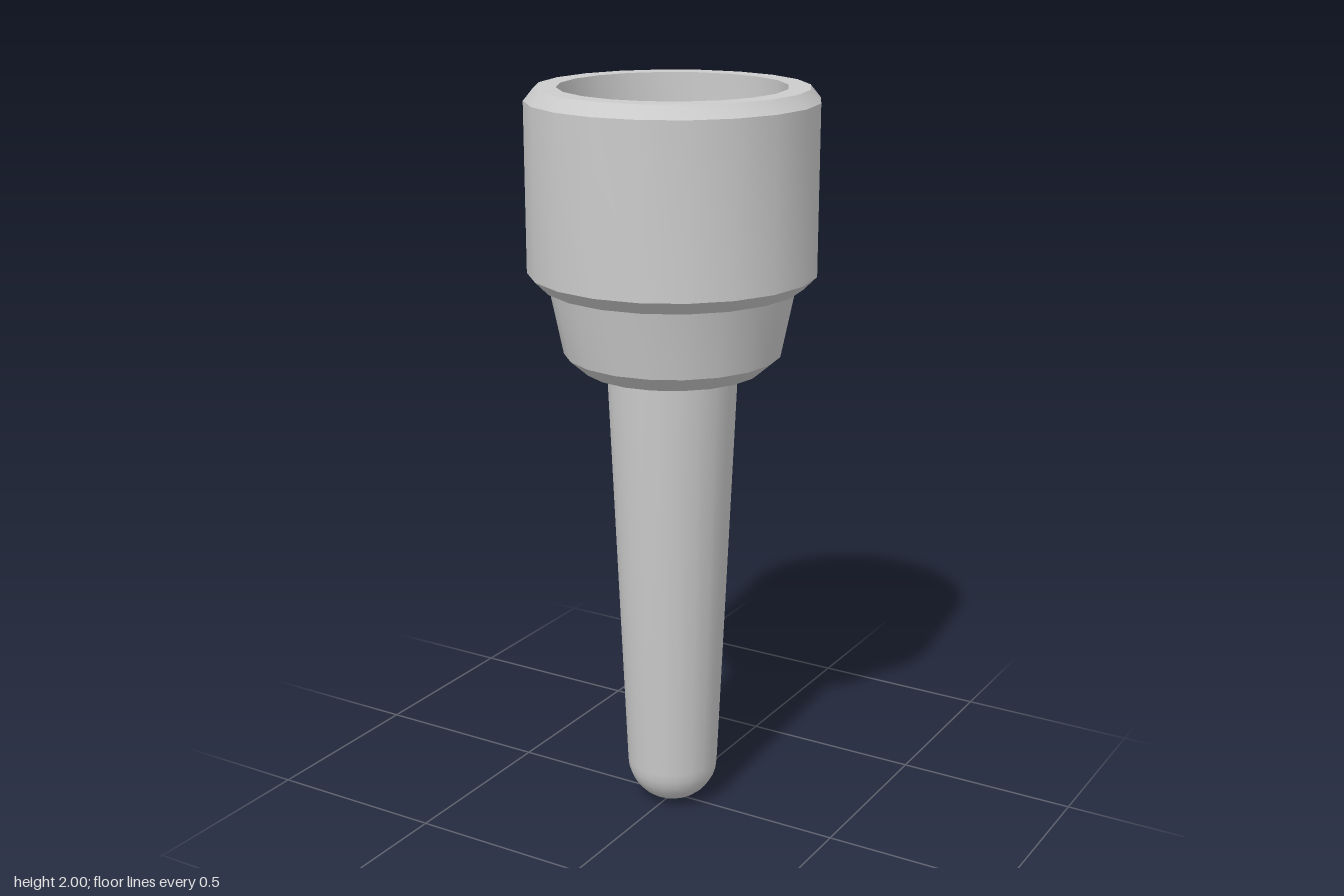
import * as THREE from 'three';
import { toCreasedNormals } from 'three/addons/utils/BufferGeometryUtils.js';

const SIDES = 20;
const material = new THREE.MeshStandardMaterial({ color: 0xcccccc });

// Revolve a [radius, height] profile, keeping bevel edges crisp
function turned(name, profile) {
  const points = profile.map(([r, y]) => new THREE.Vector2(r, y));
  const geometry = toCreasedNormals(new THREE.LatheGeometry(points, SIDES), 0.5);
  const mesh = new THREE.Mesh(geometry, material);
  mesh.name = name;
  return mesh;
}

export function createModel() {
  const group = new THREE.Group();
  group.name = 'taperedPinWithCup';

  // Tapered pin with a rounded tip
  const pin = [];
  const tipSteps = 8, tipRadius = 0.126, tipHeight = 0.12;
  for (let i = 0; i <= tipSteps; i++) {
    const a = (i / tipSteps) * Math.PI / 2;
    pin.push([tipRadius * Math.sin(a), tipHeight * (1 - Math.cos(a))]);
  }
  pin.push([0.175, 1.265]);
  group.add(turned('pin', pin));

  // Flared collar with a bevelled lower edge
  group.add(turned('collar', [
    [0.175, 1.265], [0.24, 1.265], [0.288, 1.307], [0.325, 1.49],
  ]));

  // Head with bevelled edges and a shallow round recess in the top
  group.add(turned('head', [
    [0.325, 1.49], [0.345, 1.49], [0.38, 1.525], [0.38, 1.967], [0.353, 2],
    [0.296, 2], [0.296, 1.885], [0, 1.885],
  ]));

  return group;
}
